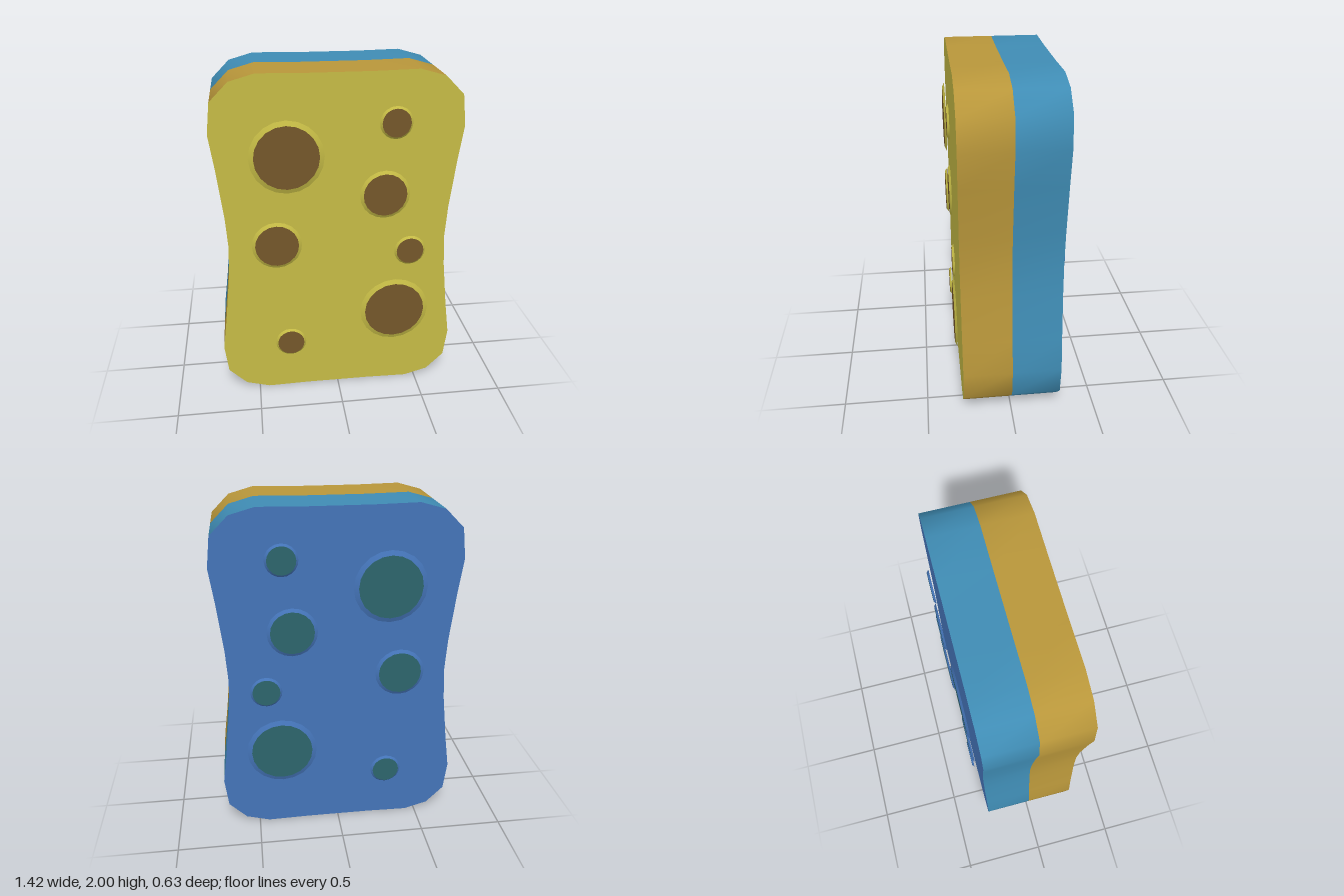
import * as THREE from 'three';
import { toCreasedNormals } from 'three/addons/utils/BufferGeometryUtils.js';

const paint = (color) => new THREE.MeshStandardMaterial({ color });

// One quarter of the waisted outline, from mid side to mid top, around (0, 0)
const QUARTER = [
  [0.637, 0], [0.648, 0.19], [0.68, 0.476], [0.708, 0.68],
  [0.687, 0.855], [0.582, 0.96], [0.44, 1], [0.19, 0.995],
];

// Pores: x, y, radius
const PORES = [
  [-0.29, 1.54, 0.21], [0.315, 1.715, 0.093], [0.265, 1.295, 0.145],
  [-0.36, 1.01, 0.145], [0.425, 0.93, 0.093], [0.345, 0.525, 0.21],
  [-0.295, 0.34, 0.093],
];

const DEPTH = 0.285;

function outline() {
  const q = QUARTER.map(([x, y]) => new THREE.Vector2(x, y));
  const upper = [...q, ...q.slice(1).reverse().map((p) => new THREE.Vector2(-p.x, p.y))];
  upper.push(new THREE.Vector2(-q[0].x, 0));
  const lower = upper.slice(1, -1).map((p) => new THREE.Vector2(-p.x, -p.y));
  return new THREE.Shape([...upper, ...lower]);
}

// Half of the sponge with its pores; dir is +1 for the front, -1 for the back
function layer(name, dir, faceColor, sideColor, poreColor) {
  const group = new THREE.Group();
  group.name = name;
  const face = paint(faceColor);
  const pore = paint(poreColor);

  const geometry = new THREE.ExtrudeGeometry(outline(), { depth: DEPTH, bevelEnabled: false });
  geometry.translate(0, 1, dir > 0 ? 0 : -DEPTH);
  const slab = new THREE.Mesh(toCreasedNormals(geometry, 0.9), [face, paint(sideColor)]);
  slab.name = name + 'Slab';
  group.add(slab);

  // Thin discs with a sloped rim, just proud of the face
  for (const [x, y, r] of PORES) {
    const disc = new THREE.CylinderGeometry(r * 0.87, r, 0.012, 20);
    disc.rotateX(dir * Math.PI / 2);
    const mesh = new THREE.Mesh(disc, [face, pore, pore]);
    mesh.position.set(x, y, dir * 0.311);
    mesh.name = name + 'Pore';
    group.add(mesh);
  }
  return group;
}

export function createModel() {
  const sponge = new THREE.Group();
  sponge.name = 'sponge';
  sponge.add(layer('front', 1, 0xc4ba45, 0xb8963a, 0x74572a));
  sponge.add(layer('back', -1, 0x4474b8, 0x3f8cb4, 0x2c656c));
  return sponge;
}
